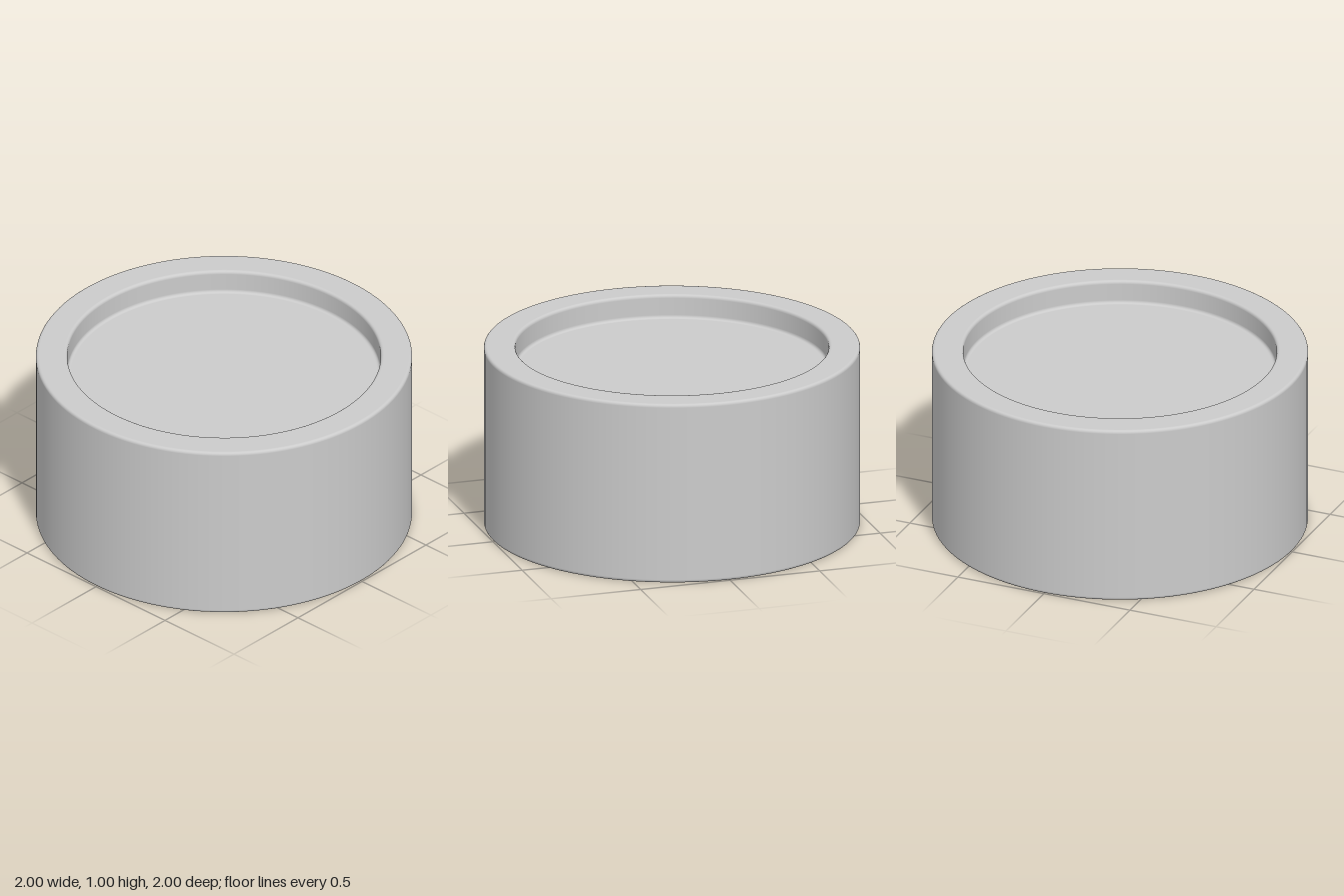
import * as THREE from 'three';

const SEGMENTS = 128;
const FILLET = 0.015;
const ARC_STEPS = 4;

// Profile with every inner corner rounded; a support point on each side keeps the flats flat.
function roundedProfile(corners, radius) {
  const points = [corners[0]];
  for (let i = 1; i < corners.length - 1; i++) {
    const c = corners[i];
    const toPrev = corners[i - 1].clone().sub(c).normalize();
    const toNext = corners[i + 1].clone().sub(c).normalize();
    const centre = c.clone().addScaledVector(toPrev, radius).addScaledVector(toNext, radius);
    points.push(c.clone().addScaledVector(toPrev, radius * 1.2));
    for (let s = 0; s <= ARC_STEPS; s++) {
      const a = (s / ARC_STEPS) * Math.PI / 2;
      points.push(centre.clone()
        .addScaledVector(toNext, -radius * Math.cos(a))
        .addScaledVector(toPrev, -radius * Math.sin(a)));
    }
    points.push(c.clone().addScaledVector(toNext, radius * 1.2));
  }
  points.push(corners[corners.length - 1]);
  return points;
}

export function createModel() {
  const group = new THREE.Group();
  group.name = 'recessedCylinder';

  // Solid drum: base, outer wall, rim, recess wall, recess floor
  const corners = [[0, 0], [1, 0], [1, 1], [0.833, 1], [0.833, 0.87], [0, 0.87]]
    .map(([x, y]) => new THREE.Vector2(x, y));
  const body = new THREE.Mesh(
    new THREE.LatheGeometry(roundedProfile(corners, FILLET), SEGMENTS),
    new THREE.MeshStandardMaterial({ color: 0xcccccc })
  );
  body.name = 'body';
  group.add(body);

  return group;
}
